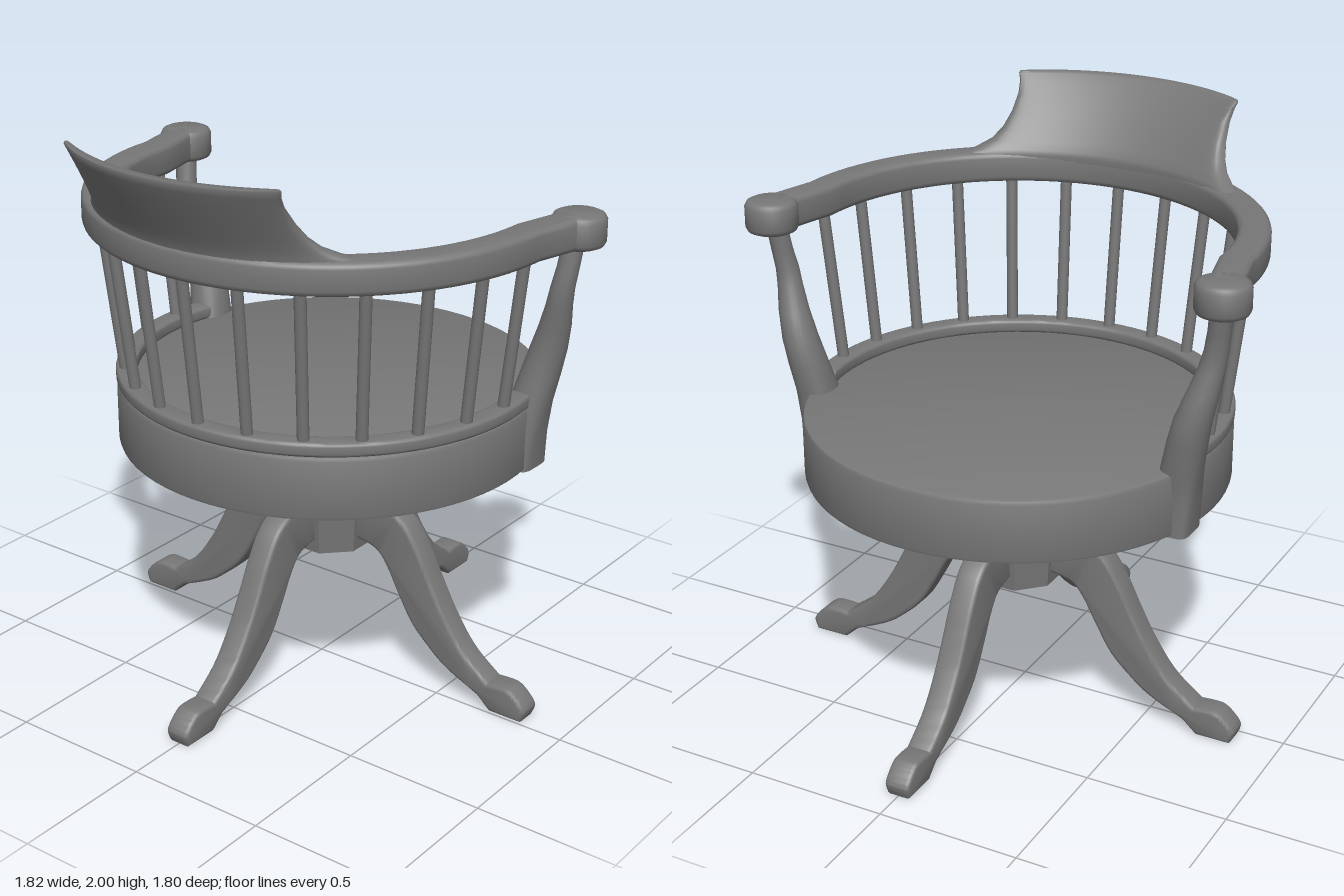
import * as THREE from 'three';
import { toCreasedNormals } from 'three/addons/utils/BufferGeometryUtils.js';

const CZ = -0.05; // z of the swivel axis
const COLOR = 0x777777; // dark grey finish
const mat = new THREE.MeshStandardMaterial({ color: COLOR });
const flatMat = new THREE.MeshStandardMaterial({ color: COLOR, flatShading: true });

function add(parent, name, geometry, material = mat) {
  const mesh = new THREE.Mesh(geometry, material);
  mesh.name = name;
  parent.add(mesh);
  return mesh;
}

const pts = (list) => list.map(([x, y]) => new THREE.Vector2(x, y));
const lathe = (list, seg, phi = 0) => new THREE.LatheGeometry(pts(list), seg, phi);
const spow = (v, p) => Math.sign(v) * Math.abs(v) ** p;

// Skin through closed rings stacked upwards, with both ends closed
function loft(rings, crease) {
  const n = rings[0].length, m = rings.length, index = [];
  for (let i = 0; i < m - 1; i++) {
    for (let j = 0; j < n; j++) {
      const a = i * n + j, b = i * n + (j + 1) % n;
      index.push(a, a + n, b, b, a + n, b + n);
    }
  }
  const top = (m - 1) * n;
  for (let j = 0; j < n / 2; j++) {
    const a = j, b = j + 1, c = n - 1 - j, d = (n - j) % n;
    if (b !== c) index.push(a, b, c, top + a, top + c, top + b);
    if (a !== d) index.push(a, c, d, top + a, top + d, top + c);
  }
  const g = new THREE.BufferGeometry();
  g.setAttribute('position', new THREE.Float32BufferAttribute(rings.flat(2), 3));
  g.setIndex(index);
  return toCreasedNormals(g, crease);
}

// Horizontal band along a centre line of [x, z], with rounded edges
function band(line, half, y0, y1, bevel) {
  const left = [], right = [];
  line.forEach(([x, z], i) => {
    const a = line[Math.max(i - 1, 0)], b = line[Math.min(i + 1, line.length - 1)];
    const t = new THREE.Vector2(b[0] - a[0], b[1] - a[1]).normalize();
    left.push([x - t.y * half, z + t.x * half]);
    right.unshift([x + t.y * half, z - t.x * half]);
  });
  const g = new THREE.ExtrudeGeometry(new THREE.Shape(pts([...left, ...right])), {
    depth: y1 - y0 - 2 * bevel, bevelThickness: bevel, bevelSize: bevel,
    bevelOffset: -bevel, bevelSegments: 3,
  });
  g.rotateX(Math.PI / 2).translate(0, y1 - bevel, 0);
  return toCreasedNormals(g, 0.7);
}

// Points on an arc around the swivel axis, round the back
function arc(r, from, to, n) {
  return Array.from({ length: n + 1 }, (_, i) => {
    const a = from + (to - from) * i / n;
    return [r * Math.cos(a), CZ + r * Math.sin(a)];
  });
}

function addBase(group) {
  // Octagonal column with a socket underneath
  const k = 1 / Math.cos(Math.PI / 8);
  const column = lathe([[0, 0.5], [0.07, 0.5], [0.07, 0.45], [0.145 * k, 0.45], [0.165 * k, 0.71],
    [0.182 * k, 0.755], [0.182 * k, 0.9]], 8, Math.PI / 8);
  add(group, 'column', column, flatMat).position.z = CZ;

  // Four curved legs
  const shape = new THREE.Shape();
  shape.moveTo(0.12, 0.5);
  shape.lineTo(0.12, 0.667);
  shape.lineTo(0.19, 0.667);
  shape.splineThru(pts([[0.27, 0.65], [0.35, 0.6], [0.41, 0.51], [0.46, 0.41], [0.52, 0.3], [0.6, 0.19], [0.7, 0.11]]));
  shape.splineThru(pts([[0.74, 0.113], [0.785, 0.11], [0.825, 0.08], [0.848, 0.045], [0.835, 0.005]]));
  shape.lineTo(0.71, 0.005);
  shape.lineTo(0.66, 0.05);
  shape.splineThru(pts([[0.53, 0.11], [0.45, 0.17], [0.38, 0.24], [0.32, 0.34], [0.27, 0.43], [0.22, 0.48], [0.12, 0.5]]));
  const b = 0.014;
  const g = new THREE.ExtrudeGeometry(shape, {
    depth: 0.092 - 2 * b, bevelThickness: b, bevelSize: b, bevelOffset: -b, bevelSegments: 3, curveSegments: 5,
  });
  g.translate(0, 0, -0.046 + b);
  const legGeometry = toCreasedNormals(g, 0.7);
  for (let i = 0; i < 4; i++) {
    const leg = add(group, 'leg', legGeometry);
    leg.position.z = CZ;
    leg.rotation.y = i * Math.PI / 2;
  }
}

function addSeat(group) {
  // Thick round seat, recessed below
  const seat = lathe([[0, 0.9], [0.605, 0.9], [0.605, 0.86], [0.718, 0.86], [0.727, 0.864], [0.73, 0.873],
    [0.73, 1.065], [0.725, 1.077], [0.714, 1.082], [0, 1.082]], 72);
  add(group, 'seat', toCreasedNormals(seat, 0.7)).position.z = CZ;
  // Raised rim that carries the spindles
  add(group, 'spindleRim', band(arc(0.696, -0.2, Math.PI + 0.2, 56), 0.036, 1.08, 1.128, 0.012));
}

function addSpindles(group) {
  for (let i = 0; i <= 12; i++) {
    const a = i * Math.PI / 12;
    const at = (r, y) => new THREE.Vector3(r * Math.cos(a), y, CZ + r * Math.sin(a));
    const path = new THREE.LineCurve3(at(0.697, 1.1), at(0.762, 1.67));
    add(group, 'spindle', new THREE.TubeGeometry(path, 1, 0.02, 12));
  }
}

function addArms(group) {
  // Bent arm rail
  const rail = [[0.82, -0.27], [0.805, -0.2], [0.788, -0.13], ...arc(0.768, 0, Math.PI, 48),
    [-0.788, -0.13], [-0.805, -0.2], [-0.82, -0.27]];
  add(group, 'armRail', band(rail, 0.055, 1.642, 1.75, 0.02));

  // Post levels: y, centre x, centre z, half width, half depth, squareness
  const levels = [
    [0.855, 0.667, -0.222, 0.065, 0.074, 0.45], [0.97, 0.675, -0.222, 0.066, 0.073, 0.55],
    [1.08, 0.69, -0.235, 0.067, 0.072, 0.8], [1.18, 0.712, -0.252, 0.066, 0.07, 0.95],
    [1.27, 0.733, -0.262, 0.062, 0.064, 1], [1.36, 0.759, -0.254, 0.053, 0.053, 1],
    [1.44, 0.779, -0.24, 0.044, 0.043, 1], [1.5, 0.791, -0.235, 0.04, 0.04, 1],
    [1.57, 0.802, -0.245, 0.037, 0.037, 1], [1.66, 0.812, -0.258, 0.036, 0.036, 1],
  ];
  const knob = toCreasedNormals(lathe([[0, 1.64], [0.07, 1.64], [0.083, 1.646], [0.09, 1.66], [0.09, 1.73],
    [0.083, 1.744], [0.07, 1.75], [0, 1.75]], 32), 0.7);
  for (const side of [1, -1]) {
    const rings = levels.map(([y, cx, cz, rx, rz, p]) => Array.from({ length: 24 }, (_, j) => {
      const a = j * Math.PI / 12;
      return [side * cx + rx * spow(Math.cos(a), p), y, cz + rz * spow(Math.sin(a), p)];
    }));
    const label = side > 0 ? 'left' : 'right';
    add(group, label + 'Post', loft(rings, 0.7));
    add(group, label + 'ArmEnd', knob).position.set(side * 0.82, 0, -0.27);
  }
}

function addCrest(group) {
  // Crest levels: y, half width, z at the middle, half thickness
  const levels = [
    [1.7, 0.57, 0.712, 0.045], [1.742, 0.535, 0.713, 0.054], [1.758, 0.49, 0.718, 0.054],
    [1.785, 0.448, 0.733, 0.052], [1.82, 0.425, 0.755, 0.049], [1.87, 0.411, 0.787, 0.045],
    [1.93, 0.407, 0.829, 0.036], [1.97, 0.414, 0.859, 0.027], [1.994, 0.424, 0.877, 0.02], [2, 0.422, 0.88, 0.015],
  ];
  const R = 0.76;
  const rings = levels.map(([y, w, zc, t]) => Array.from({ length: 64 }, (_, j) => {
    const a = j * Math.PI / 32, x = w * Math.cos(a);
    const slope = Math.sqrt(R * R - x * x) / R, off = t * spow(Math.sin(a), 0.45);
    return [x * (1 + off / R), y, zc + R * (slope - 1) + off * slope];
  }));
  add(group, 'crest', loft(rings, 0.8));
}

export function createModel() {
  const group = new THREE.Group();
  group.name = 'swivelArmchair';
  addBase(group);
  addSeat(group);
  addSpindles(group);
  addArms(group);
  addCrest(group);
  return group;
}
